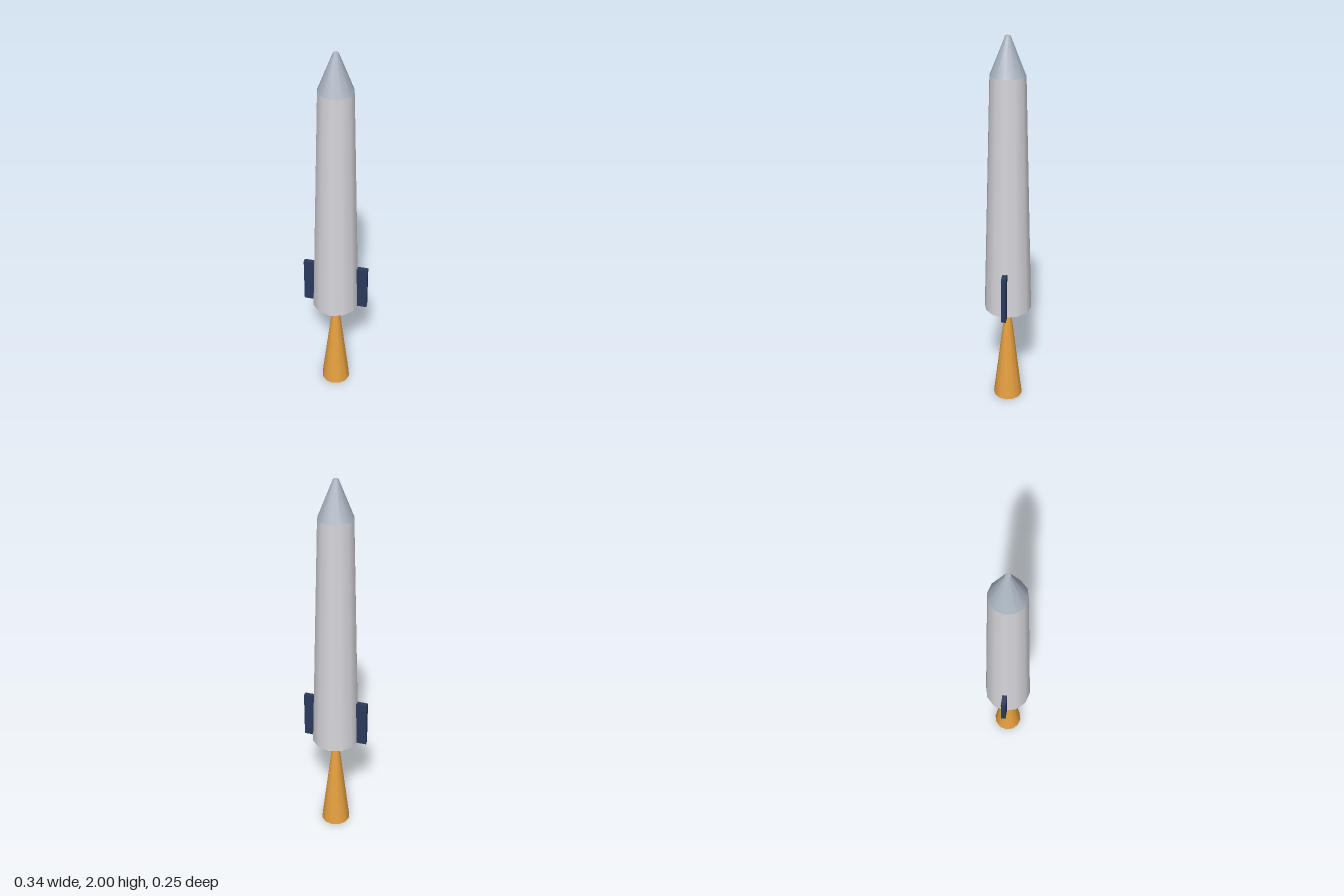
import * as THREE from 'three';

const SIDES = 12;
const BASE = 0.565; // underside of the rocket body
const SHOULDER = 1.815; // where the nose begins

const paint = (color) => new THREE.MeshStandardMaterial({ color });

// Tapered round section standing between two heights
function section(name, rTop, rBottom, y0, y1, material) {
  const mesh = new THREE.Mesh(new THREE.CylinderGeometry(rTop, rBottom, y1 - y0, SIDES), material);
  mesh.position.y = (y0 + y1) / 2;
  mesh.name = name;
  return mesh;
}

export function createModel() {
  const rocket = new THREE.Group();
  rocket.name = 'rocket';

  // Exhaust flame, body and blunt-tipped nose, stacked upwards
  rocket.add(
    section('exhaustFlame', 0.0125, 0.079, 0, BASE, paint(0xe6a040)),
    section('body', 0.0875, 0.125, BASE, SHOULDER, paint(0xd6d5da)),
    section('noseCone', 0.0125, 0.0875, SHOULDER, 2, paint(0xaab4c0)),
  );

  // Pair of rectangular side fins, sunk into the body
  const finMaterial = paint(0x2a3a5c);
  const finGeometry = new THREE.BoxGeometry(0.092, 0.25, 0.025);
  for (const [name, side] of [['leftFin', 1], ['rightFin', -1]]) {
    const fin = new THREE.Mesh(finGeometry, finMaterial);
    fin.position.set(side * 0.126, BASE + 0.125, 0);
    fin.name = name;
    rocket.add(fin);
  }

  return rocket;
}
